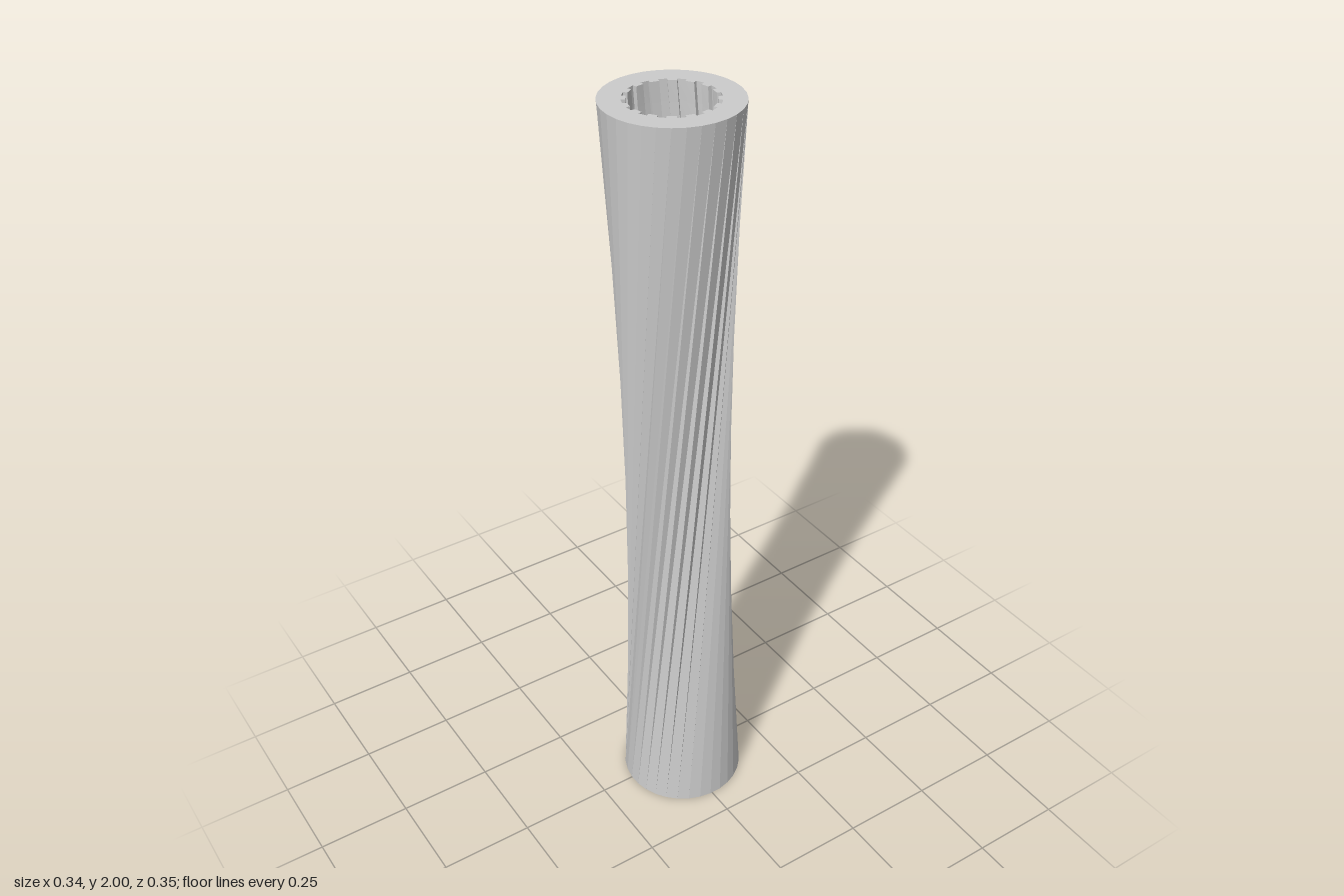
import * as THREE from 'three';

const HEIGHT = 2, TWIST = THREE.MathUtils.degToRad(72);
const SIDES = 32, GROOVES = 16, LAYERS = 40;
const OUTER = 0.165, BORE = 0.101, GROOVE = 0.111;
const LEAN = { x: -0.0075, z: -0.0115 };

// One ring at height fraction t, turned by the twist and shifted by the lean
function ring(profile, t) {
  const turn = TWIST * (t - 1), s = 2 * t - 1;
  return profile.map(([r, a]) => new THREE.Vector3(
    LEAN.x * s + r * Math.sin(a + turn), HEIGHT * t, LEAN.z * s + r * Math.cos(a + turn)));
}

// Skin a stack of equal rings; inward turns the faces towards the axis
function loft(rings, inward) {
  const n = rings[0].length, index = [];
  for (let k = 0; k < rings.length - 1; k++) {
    for (let i = 0; i < n; i++) {
      const j = (i + 1) % n;
      const a = k * n + i, b = k * n + j, c = a + n, d = b + n;
      if (inward) index.push(a, d, b, a, c, d);
      else index.push(a, b, d, a, d, c);
    }
  }
  const g = new THREE.BufferGeometry().setFromPoints(rings.flat());
  g.setIndex(index);
  g.computeVertexNormals();
  return g;
}

// Flat annular end face, from the round rim to the grooved bore
function endFace(rim, hole, up) {
  const flat = (pts) => pts.map((p) => new THREE.Vector2(p.x, up ? -p.z : p.z));
  const shape = new THREE.Shape(flat(rim));
  shape.holes.push(new THREE.Path(flat(hole)));
  const g = new THREE.ShapeGeometry(shape);
  g.rotateX(up ? -Math.PI / 2 : Math.PI / 2);
  g.translate(0, rim[0].y, 0);
  return g;
}

export function createModel() {
  const group = new THREE.Group();
  group.name = 'twistedTube';
  const material = new THREE.MeshStandardMaterial({ color: 0xcccccc, flatShading: true });
  const add = (name, geometry) => {
    const mesh = new THREE.Mesh(geometry, material);
    mesh.name = name;
    group.add(mesh);
  };

  // Profiles as [radius, angle]
  const rim = [], bore = [];
  for (let i = 0; i < SIDES; i++) rim.push([OUTER, (i / SIDES) * Math.PI * 2]);
  const half = 0.092;
  for (let i = 0; i < GROOVES; i++) {
    const a = (i / GROOVES) * Math.PI * 2;
    bore.push([BORE, a - half], [GROOVE, a - half], [GROOVE, a + half], [BORE, a + half]);
  }

  // Outer wall: straight slanted strips that pinch the waist
  const outerRings = [ring(rim, 0), ring(rim, 1)];
  add('outerWall', loft(outerRings, false));

  // Inner wall: helical grooves of constant radius
  const boreRings = [];
  for (let k = 0; k <= LAYERS; k++) boreRings.push(ring(bore, k / LAYERS));
  add('groovedBore', loft(boreRings, true));

  // End faces
  add('topFace', endFace(outerRings[1], boreRings[LAYERS], true));
  add('bottomFace', endFace(outerRings[0], boreRings[0], false));
  return group;
}
